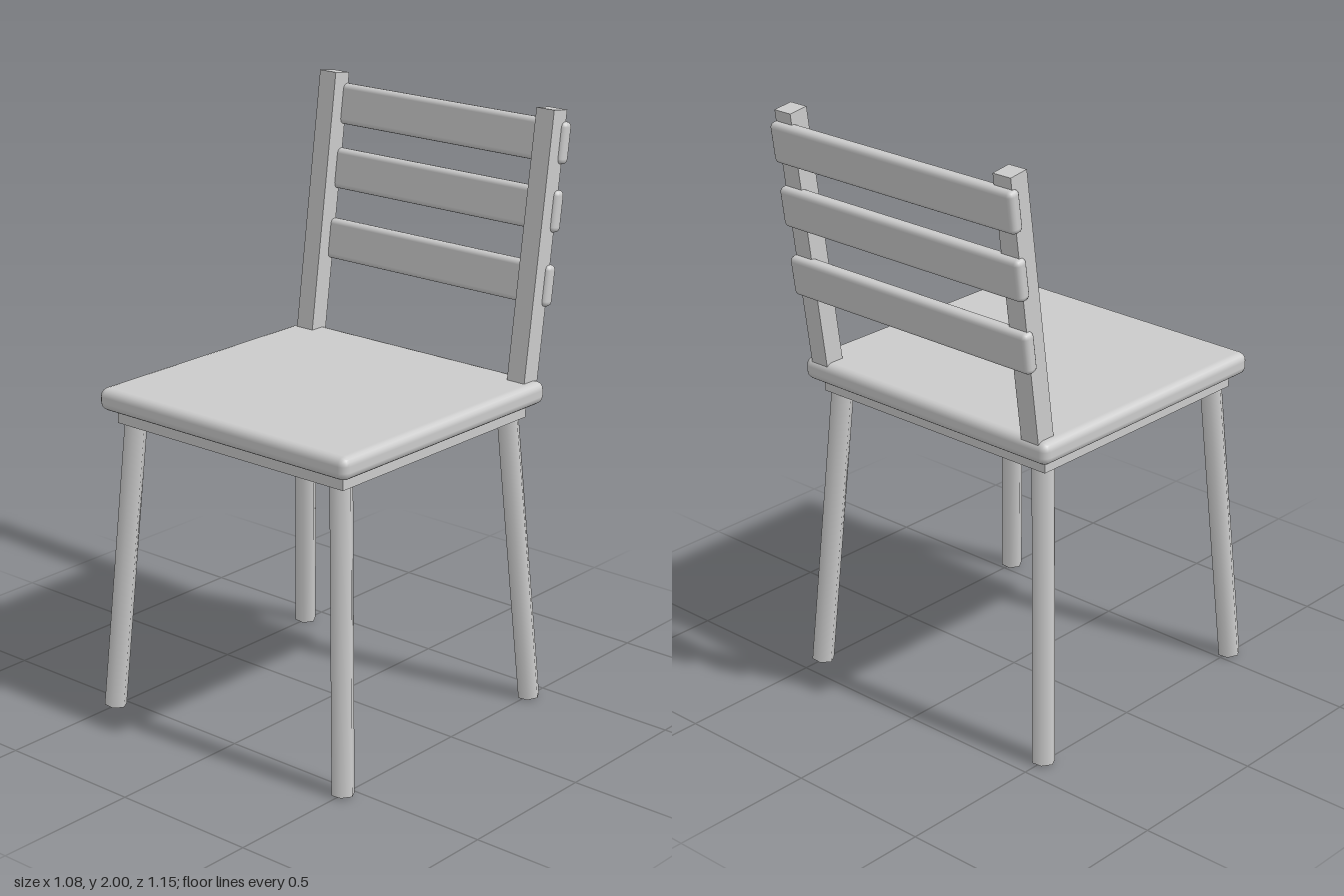
import * as THREE from 'three';
import { RoundedBoxGeometry } from 'three/addons/geometries/RoundedBoxGeometry.js';

const material = new THREE.MeshStandardMaterial({ color: 0xcccccc });
const BACK_TILT = -Math.atan(0.141);

export function createModel() {
  const chair = new THREE.Group();
  chair.name = 'chair';

  const add = (name, geometry, x, y, z, tilt = 0) => {
    const mesh = new THREE.Mesh(geometry, material);
    mesh.name = name;
    mesh.position.set(x, y, z);
    mesh.rotation.x = tilt;
    chair.add(mesh);
    return mesh;
  };

  // Seat board with softened edges, and the block beneath it
  add('seat', new RoundedBoxGeometry(1.05, 0.076, 1.004, 2, 0.028), 0, 1.083, 0.062);
  add('seatBase', new THREE.BoxGeometry(0.96, 0.07, 0.91), 0, 1.035, 0.064);

  // Six-sided legs splayed outwards in both directions
  const up = new THREE.Vector3(0, 1, 0);
  const addLeg = (name, side, zTop, zFoot) => {
    const top = new THREE.Vector3(side * 0.437, 1.02, zTop);
    const foot = new THREE.Vector3(side * 0.503, 0.005, zFoot);
    const axis = top.clone().sub(foot);
    const geometry = new THREE.CylinderGeometry(0.038, 0.038, axis.length(), 6);
    geometry.rotateY(Math.PI / 6);
    const centre = top.add(foot).multiplyScalar(0.5);
    const leg = add(name, geometry, centre.x, centre.y, centre.z);
    leg.quaternion.setFromUnitVectors(up, axis.normalize());
  };

  for (const [label, side] of [['left', 1], ['right', -1]]) {
    addLeg(label + 'FrontLeg', side, 0.477, 0.544);
    addLeg(label + 'BackLeg', side, -0.349, -0.416);

    // Leaning back post
    add(label + 'BackPost', new THREE.BoxGeometry(0.07, 0.94, 0.07),
      side * 0.456, 1.53, -0.457, BACK_TILT);
  }

  // Three rounded slats set into the rear of the posts
  [[1.885, -0.543], [1.667, -0.512], [1.427, -0.478]].forEach(([y, z], i) => {
    add('backSlat' + (i + 1), new RoundedBoxGeometry(1.01, 0.138, 0.046, 2, 0.018), 0, y, z, BACK_TILT);
  });

  return chair;
}
